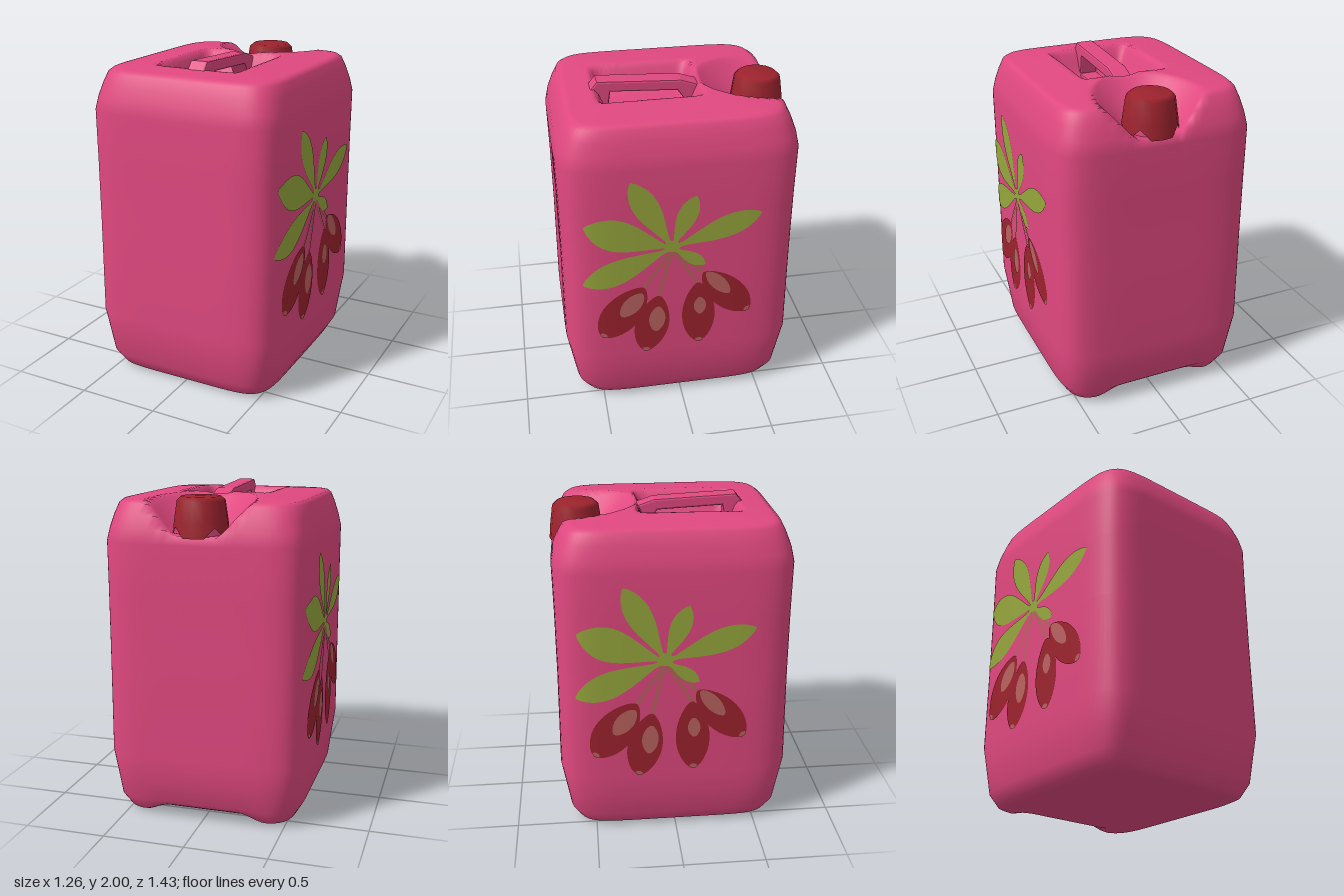
import * as THREE from 'three';

const mat = (name, color, side = THREE.FrontSide) => {
  const m = new THREE.MeshStandardMaterial({ color, side });
  m.name = name;
  return m;
};

// Wall profile: height, half width, half depth
const PROFILE = [
  [0, 0.5, 0.58], [0.02, 0.54, 0.62], [0.1, 0.585, 0.665], [0.25, 0.603, 0.69], [0.4, 0.622, 0.715],
  [1.0, 0.622, 0.708], [1.4, 0.622, 0.708], [1.7, 0.622, 0.712], [1.78, 0.605, 0.695],
  [1.86, 0.582, 0.665], [1.92, 0.56, 0.635], [1.938, 0.54, 0.61],
];
const POWER = 7; // squareness of the cross-section
const smooth = THREE.MathUtils.smoothstep;

function extents(y) {
  let i = 1;
  while (i < PROFILE.length - 1 && PROFILE[i][0] < y) i++;
  const [y0, a0, b0] = PROFILE[i - 1], [y1, a1, b1] = PROFILE[i];
  const t = (y - y0) / (y1 - y0);
  return [a0 + (a1 - a0) * t, b0 + (b1 - b0) * t];
}

// Point on the rounded-square outline, evenly spaced along each side
function outline(i, perSide) {
  const side = Math.floor(i / perSide), t = (i % perSide) / perSide * 2 - 1;
  const [u, v] = [[1, t], [-t, 1], [-1, -t], [t, -1]][side];
  const k = Math.pow(Math.abs(u) ** POWER + Math.abs(v) ** POWER, -1 / POWER);
  return [u * k, v * k];
}

// Grip well, cap hollow and the finger hollow under the back edge
function carve(x, y, z) {
  if (y > 1.93) {
    const inX = 1 - smooth(Math.abs(x), 0.18, 0.28);
    const inZ = 1 - smooth(Math.abs(z - 0.12), 0.22, 0.32);
    y -= 0.17 * inX * inZ;
  }
  if (y > 1.6 && z < 0) {
    const d = Math.hypot(x - 0.02, 0.8 * Math.max(0, z + 0.6));
    y = Math.min(y, 1.75 + 1.1 * Math.max(0, d - 0.14));
  }
  if (y < 0.12) {
    y += 0.06 * smooth(-z, 0.48, 0.58) * (1 - smooth(Math.abs(x), 0.22, 0.4)) * (1 - y / 0.12);
  }
  return y;
}

function bodyGeometry() {
  const perSide = 32, n = perSide * 4, steps = 28;
  const rings = []; // height, half width, half depth
  const first = PROFILE[0], last = PROFILE[PROFILE.length - 1];
  for (let k = 0; k < 12; k++) rings.push([0, first[1] * k / 12, first[2] * k / 12]);
  rings.push(...PROFILE);
  for (let k = 1; k <= steps; k++) {
    const s = 1 - k / steps;
    rings.push([1.94 + 0.03 * (1 - s * s), last[1] * s, last[2] * s]);
  }
  const pos = [], index = [];
  rings.forEach(([y, a, b], j) => {
    for (let i = 0; i < n; i++) {
      const [u, v] = outline(i, perSide);
      pos.push(u * a, carve(u * a, y, v * b), v * b);
      if (j === rings.length - 1) continue;
      const p = j * n + i, q = j * n + (i + 1) % n;
      index.push(p, p + n, q, q, p + n, q + n);
    }
  });
  const g = new THREE.BufferGeometry();
  g.setAttribute('position', new THREE.Float32BufferAttribute(pos, 3));
  g.setIndex(index);
  g.computeVertexNormals();
  return g;
}

// Printed blob lying on the +x wall, from one (z, y) point to another; a higher bias gives a fuller far end
function printGeometry([z0, y0], [z1, y1], halfWidth, bias, lift) {
  const g = new THREE.PlaneGeometry(2, 1, 6, 28);
  const p = g.attributes.position;
  const len = Math.hypot(z1 - z0, y1 - y0);
  const dr = -(z1 - z0) / len, dy = (y1 - y0) / len;
  for (let i = 0; i < p.count; i++) {
    const s = p.getY(i) + 0.5;
    const t = (1 - Math.cos(Math.PI * s)) / 2; // denser towards the ends
    const w = bias ? Math.sqrt(Math.max(0, Math.sin(Math.PI * t ** bias))) ** (bias > 1.2 ? 1.5 : 1.1) : 1;
    const c = p.getX(i) * halfWidth * w;
    const z = z0 - (dr * len * t + dy * c);
    const y = y0 + dy * len * t - dr * c;
    const [a, b] = extents(y);
    const x = a * Math.pow(Math.max(0, 1 - Math.abs(z / b) ** POWER), 1 / POWER);
    p.setXYZ(i, x + lift, y, z);
  }
  g.computeVertexNormals();
  return g;
}

export function createModel() {
  const pink = mat('pink plastic', 0xe0487f);
  const red = mat('dark red', 0x9c222d, THREE.DoubleSide);
  const green = mat('leaf green', 0x96a63c, THREE.DoubleSide);
  const rose = mat('pale rose', 0xb9625f, THREE.DoubleSide);

  const model = new THREE.Group();
  model.name = 'jerrycan';
  const add = (parent, name, geometry, material) => {
    const m = new THREE.Mesh(geometry, material);
    m.name = name;
    parent.add(m);
    return m;
  };

  add(model, 'body', bodyGeometry(), pink);

  // Carrying handle bridging the grip well
  const v = (list) => list.map(([z, y]) => new THREE.Vector2(z, y));
  const shape = new THREE.Shape(v([[0.5, 1.78], [0.47, 1.94], [0.42, 2.0], [-0.08, 1.977], [-0.22, 1.93], [-0.28, 1.78]]));
  shape.holes.push(new THREE.Path(v([[0.36, 1.81], [-0.13, 1.81], [-0.06, 1.91], [0.34, 1.93]])));
  const handle = new THREE.ExtrudeGeometry(shape, {
    depth: 0.091, bevelEnabled: true, bevelThickness: 0.012, bevelSize: 0.012, bevelOffset: -0.012, bevelSegments: 2,
  });
  handle.rotateY(-Math.PI / 2).translate(0.063, 0, 0);
  add(model, 'handle', handle, pink);

  // Neck and screw cap with a toothed lower edge
  const neck = add(model, 'neck', new THREE.CylinderGeometry(0.125, 0.135, 0.2, 16), pink);
  neck.position.set(0.02, 1.76, -0.555);
  const capShape = v([[0.165, 1.74], [0.158, 1.82], [0.14, 1.945], [0.115, 1.968], [0, 1.972]]);
  const capGeo = new THREE.LatheGeometry(capShape, 16);
  const cp = capGeo.attributes.position;
  for (let i = 0; i < cp.count; i++) {
    const column = Math.floor(i / capShape.length);
    if (i % capShape.length === 0 && column % 4 === 2) cp.setY(i, 1.8);
  }
  capGeo.computeVertexNormals();
  add(model, 'cap', capGeo, red).position.set(0.02, 0, -0.555);

  // Printed fruit branch, as (z, y) start, end and half width
  const hub = [0.07, 1.17];
  const leaves = [
    [[0.31, 1.63], 0.075], [[0.58, 1.35], 0.105], [[0.6, 0.94], 0.085],
    [[-0.07, 1.51], 0.06], [[-0.46, 1.36], 0.075], [[-0.13, 1.03], 0.04],
  ];
  const fruits = [
    [[0.24, 0.9], [0.5, 0.55], 0.12], [[0.15, 0.83], [0.235, 0.41], 0.105],
    [[-0.09, 0.9], [-0.1, 0.44], 0.103], [[-0.12, 0.97], [-0.41, 0.65], 0.105],
  ];
  const shines = [
    [[0.25, 0.86], [0.38, 0.7], 0.055], [[0.155, 0.75], [0.17, 0.56], 0.05],
    [[-0.1, 0.79], [-0.105, 0.66], 0.038], [[-0.14, 0.97], [-0.285, 0.8], 0.045],
  ];
  for (const side of ['left', 'right']) {
    const print = new THREE.Group();
    print.name = side + 'FruitPrint';
    if (side === 'right') print.rotation.y = Math.PI;
    model.add(print);
    for (const [tip, w] of leaves) {
      add(print, 'leaf', printGeometry(hub, tip, w, 1.6, 0.005), green);
      // narrow leaf stalk running into the hub
      const mid = [hub[0] + (tip[0] - hub[0]) * 0.4, hub[1] + (tip[1] - hub[1]) * 0.4];
      add(print, 'leafStalk', printGeometry(hub, mid, 0.015, 0, 0.0052), green);
    }
    add(print, 'leafHub', printGeometry([0.12, 1.18], [0.02, 1.18], 0.04, 1, 0.0054), green);
    fruits.forEach(([top, tip, w], i) => {
      add(print, 'stem', printGeometry([hub[0], 1.15], top, 0.011, 0, 0.004), rose);
      add(print, 'fruit', printGeometry(top, tip, w, 1.1, 0.005), red);
      add(print, 'fruitShine', printGeometry(...shines[i], 1, 0.008), rose);
      const end = [tip[0] + (top[0] - tip[0]) * 0.07, tip[1] + (top[1] - tip[1]) * 0.07];
      add(print, 'fruitTip', printGeometry(end, tip, 0.024, 1, 0.008), rose);
    });
  }
  return model;
}
